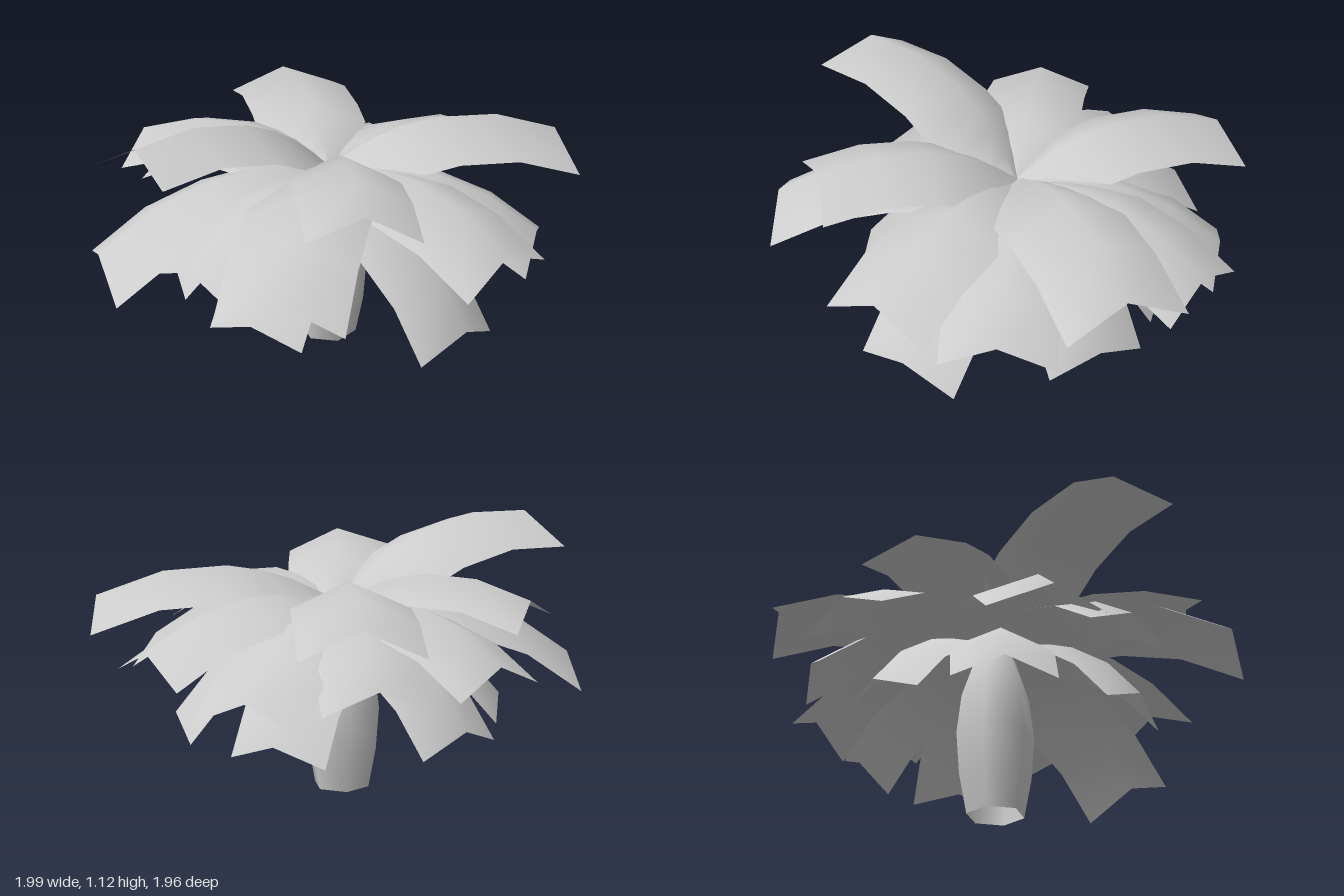
import * as THREE from 'three';

const leafGrey = new THREE.MeshStandardMaterial({ color: 0xcccccc, side: THREE.DoubleSide });
leafGrey.name = 'plain grey';

// Stations along a leaf pointing to +z: distance, ridge height, half width, drop of the edges
const STATIONS = [
  [0, 0, 0.02, 0.005], [0.11, 0.04, 0.085, 0.035], [0.22, 0.073, 0.17, 0.075],
  [0.34, 0.092, 0.25, 0.115], [0.49, 0.092, 0.25, 0.115], [0.745, 0.035, 0.25, 0.115],
  [1, -0.1, 0.25, 0.115],
];

// Arched leaf with a raised midrib and a square-cut end
function leafGeometry() {
  const positions = [], index = [];
  STATIONS.forEach(([z, y, w, drop], i) => {
    positions.push(-w, y - drop, z, 0, y, z, w, y - drop, z);
    if (i === 0) return;
    for (let j = 0; j < 2; j++) {
      const a = (i - 1) * 3 + j, b = a + 3;
      index.push(a, b, a + 1, a + 1, b, b + 1);
    }
  });
  const geometry = new THREE.BufferGeometry();
  geometry.setAttribute('position', new THREE.Float32BufferAttribute(positions, 3));
  geometry.setIndex(index);
  geometry.computeVertexNormals();
  return geometry;
}

// Midrib tip of each leaf (x, y, z) and its roll
const UPPER = [
  [-0.655, 1.11, 0.625, 0.16], [0.26, 0.965, 0.745, -0.08], [-0.03, 0.7, 0.975, 0],
  [0.875, 0.84, -0.46, 0], [-0.4, 0.865, -0.865, 0], [-0.84, 0.86, -0.1, 0],
];
const MIDDLE = [
  [0.845, 0.585, 0.02, 0], [0.76, 0.71, 0.485, 0], [-0.885, 0.54, 0.455, 0],
  [-0.8, 0.66, -0.41, 0], [0.06, 0.555, -0.87, 0], [0.505, 0.69, -0.77, 0],
  [-0.45, 0.61, 0.65, 0], [-0.41, 0.6, -0.7, 0],
];
const LOWER = [
  [0.615, 0.31, 0.4, -0.1], [-0.22, 0.375, 0.625, 0], [0.57, 0.355, -0.38, 0],
  [0.035, 0.33, -0.65, 0], [-0.65, 0.37, -0.33, 0], [-0.65, 0.4, 0.2, 0],
];

export function createModel() {
  const model = new THREE.Group();
  model.name = 'palm';

  // Six-sided, swelling trunk, open underneath
  const profile = [[0.12, 0], [0.152, 0.17], [0.165, 0.35], [0.145, 0.52], [0.085, 0.7], [0, 0.73]]
    .map(([r, y]) => new THREE.Vector2(r, y));
  const trunk = new THREE.Mesh(new THREE.LatheGeometry(profile, 6, Math.PI / 2), leafGrey);
  trunk.name = 'trunk';
  trunk.position.set(-0.03, 0, -0.025);
  model.add(trunk);

  // Crown: aim every leaf from the trunk top towards its tip
  const geometry = leafGeometry();
  const tipAngle = Math.atan2(-0.1, 1), tipLength = Math.hypot(1, 0.1);
  const addTier = (tips, name, baseY) => {
    const tier = new THREE.Group();
    tier.name = name;
    tips.forEach(([x, y, z, roll], i) => {
      const leaf = new THREE.Mesh(geometry, leafGrey);
      leaf.name = `${name}${i + 1}`;
      leaf.position.set(-0.025, baseY, -0.025);
      const dx = x + 0.025, dy = y - baseY, dz = z + 0.025;
      const flat = Math.hypot(dx, dz);
      const pitch = Math.atan2(dy, flat) - tipAngle;
      leaf.rotation.set(-pitch, Math.atan2(dx, dz), roll, 'YXZ');
      const s = Math.hypot(flat, dy) / tipLength;
      leaf.scale.set(0.3 + 0.7 * s, s, s);
      tier.add(leaf);
    });
    model.add(tier);
  };
  addTier(UPPER, 'upperLeaf', 0.785);
  addTier(MIDDLE, 'middleLeaf', 0.765);
  addTier(LOWER, 'lowerLeaf', 0.735);
  return model;
}
